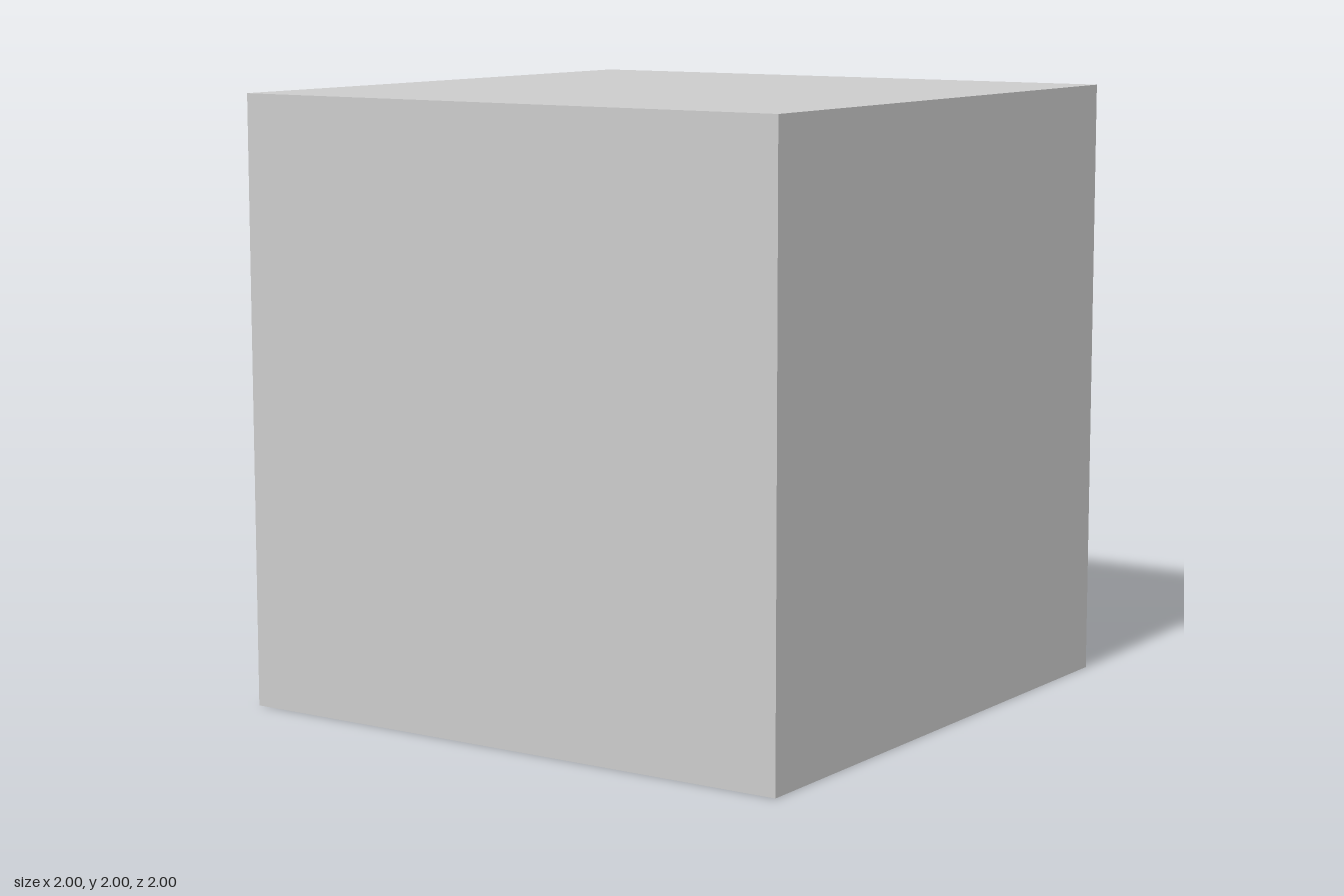
import * as THREE from 'three';

const SIZE = 2;
const HALF = SIZE / 2;

export function createModel() {
  const room = new THREE.Group();
  room.name = 'room';
  const material = new THREE.MeshStandardMaterial({
    color: 0xcccccc, flatShading: true, side: THREE.DoubleSide,
  });

  function addPanel(name, geometry, position, rotation) {
    const mesh = new THREE.Mesh(geometry, material);
    mesh.name = name;
    mesh.position.set(...position);
    mesh.rotation.set(...rotation);
    room.add(mesh);
  }

  // Plain, paper-thin panels, each facing outwards
  const panel = new THREE.PlaneGeometry(SIZE, SIZE);
  addPanel('frontWall', panel, [0, HALF, HALF], [0, 0, 0]);
  addPanel('leftWall', panel, [HALF, HALF, 0], [0, Math.PI / 2, 0]);
  addPanel('rightWall', panel, [-HALF, HALF, 0], [0, -Math.PI / 2, 0]);
  addPanel('ceiling', panel, [0, SIZE, 0], [-Math.PI / 2, 0, 0]);
  addPanel('floor', panel, [0, 0, 0], [Math.PI / 2, 0, 0]);

  // Back wall with an arched doorway open down to the floor
  const doorX = 0.01, doorHalf = 0.46, spring = 0.7, rise = 0.49, steps = 10;
  const wall = new THREE.Shape();
  wall.moveTo(-HALF, 0);
  wall.lineTo(doorX - doorHalf, 0);
  for (let i = 0; i <= steps; i++) {
    const a = Math.PI * (1 - i / steps);
    wall.lineTo(doorX + doorHalf * Math.cos(a), spring + rise * Math.sin(a));
  }
  wall.lineTo(doorX + doorHalf, 0);
  wall.lineTo(HALF, 0);
  wall.lineTo(HALF, SIZE);
  wall.lineTo(-HALF, SIZE);
  wall.closePath();
  addPanel('backWallWithDoorway', new THREE.ShapeGeometry(wall), [0, 0, -HALF], [0, Math.PI, 0]);

  return room;
}
